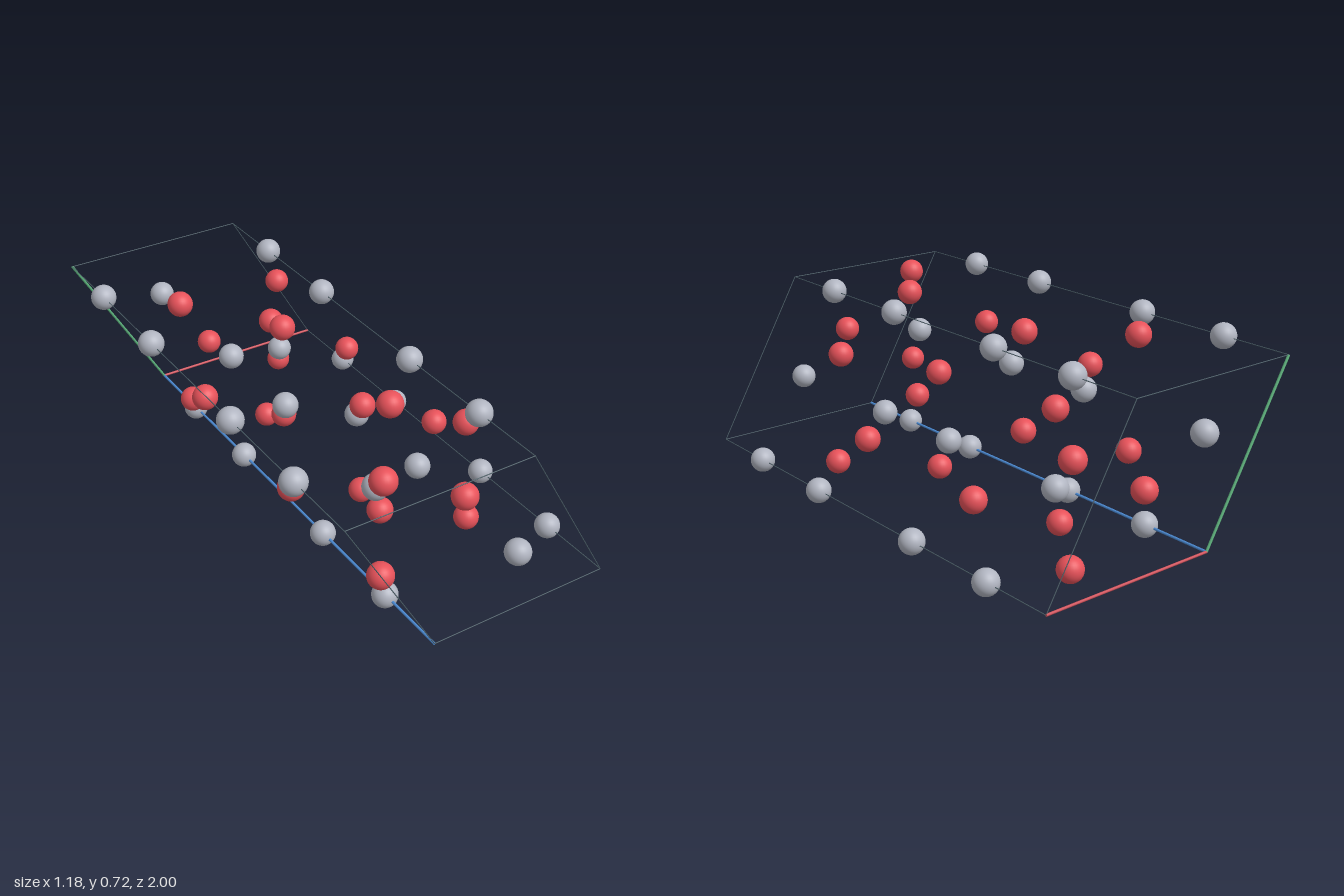
import * as THREE from 'three';

// Hexagonal crystal cell: a along x, b at 120 degrees, c along z
const C = 1.978, A = C / 2.73, R = 0.048;
const H = A * Math.sin(Math.PI / 3);

// Fractional cell coordinates to model space
const place = (u, v, w) =>
  new THREE.Vector3((u - 0.5) * A - (v - 0.5) * A / 2, R + v * H, (w - 0.5) * C);

const mat = (name, color) => {
  const m = new THREE.MeshStandardMaterial({ color });
  m.name = name;
  return m;
};

const wrap = (t) => {
  const f = t - Math.floor(t);
  return f < 1e-4 || f > 1 - 1e-4 ? 0 : f;
};

export function createModel() {
  const model = new THREE.Group();
  model.name = 'crystalCell';
  const grey = mat('metalGrey', 0xb1b5c1);
  const red = mat('oxygenRed', 0xe8525a);
  const slate = mat('edgeSlate', 0x4c5f68);
  const axisRed = mat('axisRed', 0xd0505a);
  const axisGreen = mat('axisGreen', 0x5cb27c);
  const axisBlue = mat('axisBlue', 0x4c8cd6);
  const ball = new THREE.SphereGeometry(R, 28, 18);

  // Atoms: each site is repeated by the three centring shifts, and on opposite cell borders
  const shifts = [[0, 0, 0], [2 / 3, 1 / 3, 1 / 3], [1 / 3, 2 / 3, 2 / 3]];
  function addAtoms(name, sites, material) {
    const group = new THREE.Group();
    group.name = name + 's';
    for (const s of sites) for (const d of shifts) {
      const [u, v, w] = s.map((t, i) => wrap(t + d[i]));
      for (const uu of u === 0 ? [0, 1] : [u]) for (const vv of v === 0 ? [0, 1] : [v]) {
        const atom = new THREE.Mesh(ball, material);
        atom.name = name;
        atom.position.copy(place(uu, vv, w));
        group.add(atom);
      }
    }
    model.add(group);
  }
  const z = 0.352, x = 0.306;
  addAtoms('metalAtom', [z, 0.5 - z, 1 - z, 0.5 + z].map((w) => [0, 0, w]), grey);
  addAtoms('oxygenAtom', [
    [x, 0, 0.25], [0, x, 0.25], [-x, -x, 0.25],
    [-x, 0, 0.75], [0, -x, 0.75], [x, x, 0.75],
  ], red);

  // Cell edges: thick coloured axes from the origin, thin slate rods elsewhere
  function addRod(name, from, to, radius, material) {
    const dir = to.clone().sub(from);
    const rod = new THREE.Mesh(new THREE.CylinderGeometry(radius, radius, dir.length(), 8), material);
    rod.name = name;
    rod.position.copy(from).add(to).multiplyScalar(0.5);
    rod.quaternion.setFromUnitVectors(new THREE.Vector3(0, 1, 0), dir.normalize());
    model.add(rod);
  }
  const axes = [['axisA', axisRed], ['axisB', axisGreen], ['axisC', axisBlue]];
  axes.forEach(([name, material], k) => {
    for (const p of [0, 1]) for (const q of [0, 1]) {
      const start = [0, 0, 0];
      start[(k + 1) % 3] = p;
      start[(k + 2) % 3] = q;
      const end = start.slice();
      end[k] = 1;
      const isAxis = p + q === 0;
      addRod(isAxis ? name : 'cellEdge', place(...start), place(...end),
        isAxis ? 0.005 : 0.0017, isAxis ? material : slate);
    }
  });
  return model;
}
